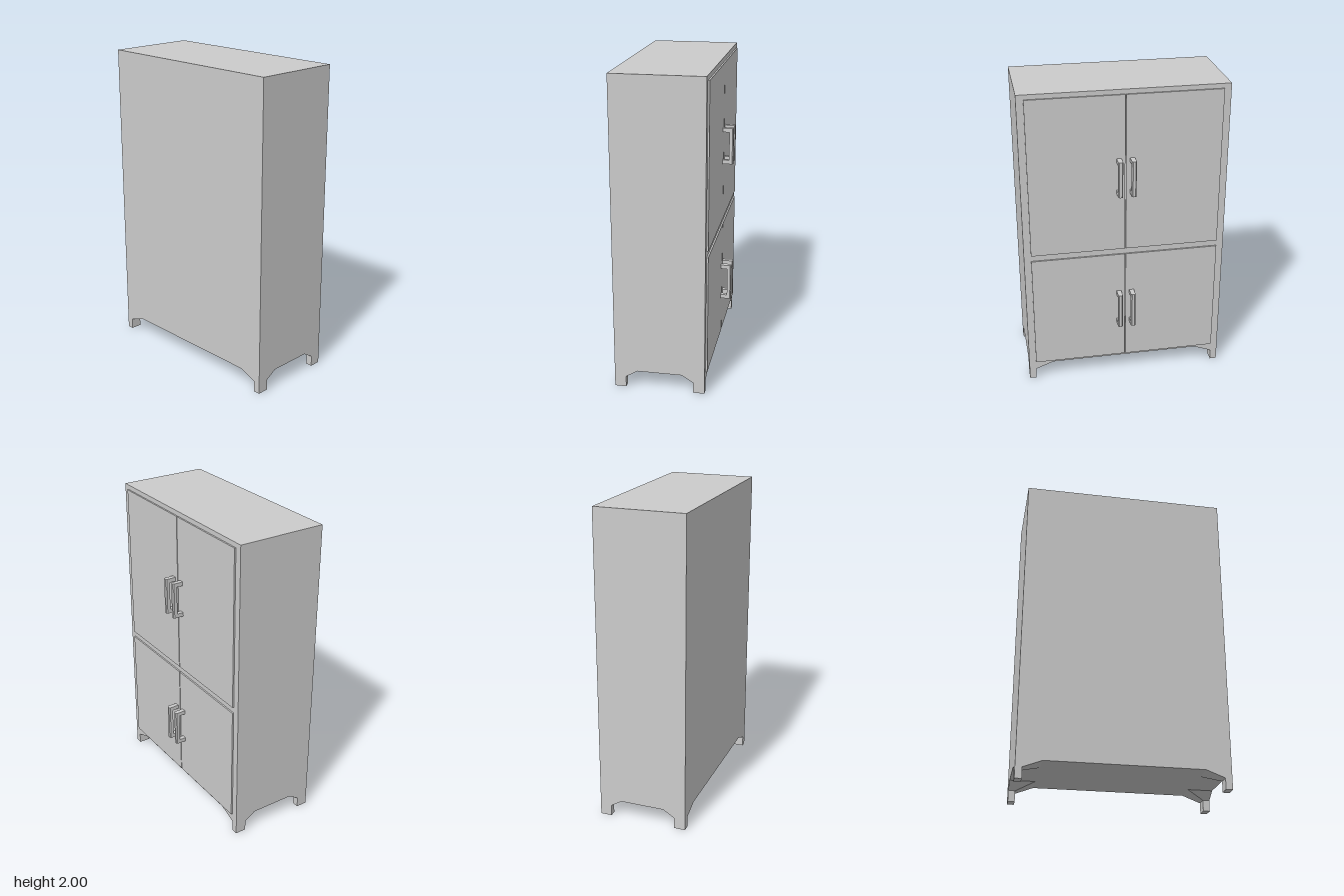
import * as THREE from 'three';

const material = new THREE.MeshStandardMaterial({ color: 0xcccccc, flatShading: true });

export function createModel() {
  const group = new THREE.Group();
  const add = (name, geometry, parent = group) => {
    const mesh = new THREE.Mesh(geometry, material);
    mesh.name = name;
    parent.add(mesh);
    return mesh;
  };
  // Box given by its minimum and maximum corners
  const box = (x0, x1, y0, y1, z0, z1) =>
    new THREE.BoxGeometry(x1 - x0, y1 - y0, z1 - z0)
      .translate((x0 + x1) / 2, (y0 + y1) / 2, (z0 + z1) / 2);

  const W = 0.65, FRONT = 0.325, BACK = -0.25, BASE = 0.115, ANKLE = 0.07;

  // Cabinet body
  add('cabinetBody', box(-W, W, BASE, 2, BACK, FRONT));

  // Four feet, each a square post under a bracket that flares inward
  for (const sx of [-1, 1]) {
    for (const [edge, sz] of [[FRONT, 1], [BACK, -1]]) {
      const foot = new THREE.Group();
      foot.name = 'foot';
      group.add(foot);
      const block = (w, d, y0, y1) => {
        const xs = [sx * W, sx * (W - w)].sort((a, b) => a - b);
        const zs = [edge, edge - sz * d].sort((a, b) => a - b);
        return box(...xs, y0, y1, ...zs);
      };
      add('footPost', block(0.043, 0.072, 0, ANKLE), foot);
      const flare = block(0.16, 0.145, ANKLE, BASE);
      const p = flare.attributes.position;
      for (let i = 0; i < p.count; i++) {
        if (p.getY(i) > (ANKLE + BASE) / 2) continue;
        if (Math.abs(p.getX(i)) < W - 0.1) p.setX(i, sx * (W - 0.043));
        if (Math.abs(p.getZ(i) - edge) > 0.1) p.setZ(i, edge - sz * 0.072);
      }
      flare.computeVertexNormals();
      add('footBracket', flare, foot);
    }
  }

  // Handle grip section with chamfered outer corners, swept upward
  const gripShape = new THREE.Shape([
    [-0.015, 0.302], [0.015, 0.302], [0.015, 0.322], [0.008, 0.328], [-0.008, 0.328], [-0.015, 0.322],
  ].map(([x, y]) => new THREE.Vector2(x, y)));

  // Two pairs of doors with bracket handles
  for (const [y0, y1, h0, h1, level] of [
    [0.94, 1.97, 1.33, 1.565, 'upper'],
    [0.13, 0.9, 0.39, 0.63, 'lower'],
  ]) {
    for (const s of [-1, 1]) {
      const xs = s > 0 ? [0.003, 0.605] : [-0.605, -0.003];
      add(level + 'Door', box(...xs, y0, y1, -0.26, BACK + 0.002));

      const handle = new THREE.Group();
      handle.name = level + 'Handle';
      handle.position.x = s * 0.042;
      group.add(handle);
      const grip = new THREE.ExtrudeGeometry(gripShape, { depth: h1 - h0, bevelEnabled: false });
      grip.rotateX(-Math.PI / 2).translate(0, h0, 0);
      add('handleGrip', grip, handle);
      for (const y of [h0, h1 - 0.026]) {
        add('handlePost', box(-0.015, 0.015, y, y + 0.026, -0.304, -0.258), handle);
      }
    }
  }
  return group;
}
